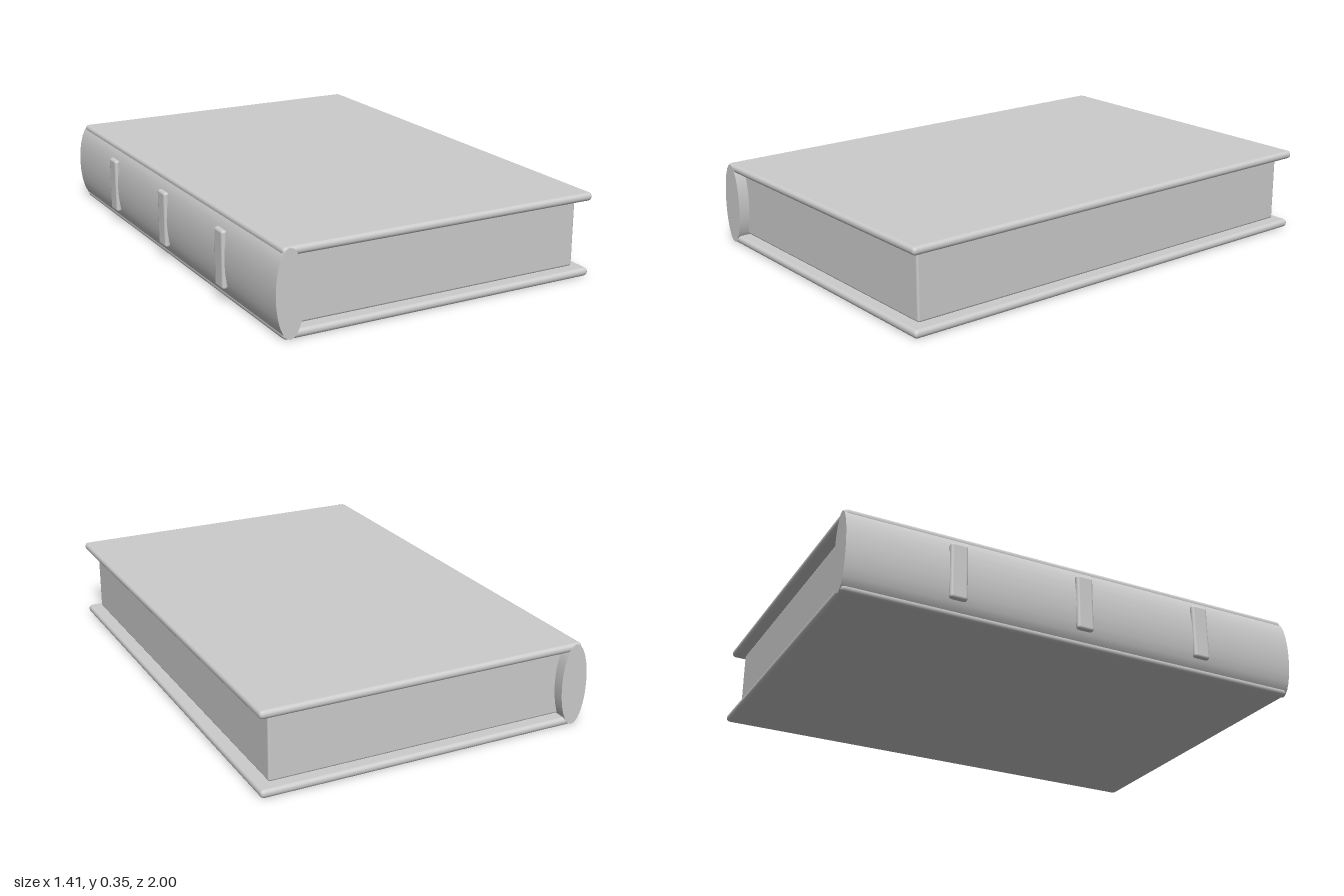
import * as THREE from 'three';
import { RoundedBoxGeometry } from 'three/addons/geometries/RoundedBoxGeometry.js';

export function createModel() {
  const book = new THREE.Group();
  book.name = 'book';
  const grey = new THREE.MeshStandardMaterial({ color: 0xcccccc });
  grey.name = 'light grey';

  // Soft-edged box given by its limits on each axis
  function block(name, [x0, x1], [y0, y1], [z0, z1], radius) {
    const geometry = new RoundedBoxGeometry(x1 - x0, y1 - y0, z1 - z0, 2, radius);
    const mesh = new THREE.Mesh(geometry, grey);
    mesh.position.set((x0 + x1) / 2, (y0 + y1) / 2, (z0 + z1) / 2);
    mesh.name = name;
    book.add(mesh);
  }

  // Two covers and the page block between them
  block('bottomCover', [-0.665, 0.705], [0, 0.034], [-1, 1], 0.016);
  block('topCover', [-0.665, 0.705], [0.313, 0.347], [-1, 1], 0.016);
  block('pages', [-0.64, 0.655], [0.037, 0.31], [-0.953, 0.953], 0.009);

  // Spine: an elliptical cylinder along z
  const spineGeometry = new THREE.CylinderGeometry(1, 1, 2, 24);
  spineGeometry.rotateX(Math.PI / 2);
  spineGeometry.scale(0.058, 0.1715, 1);
  const spine = new THREE.Mesh(spineGeometry, grey);
  spine.position.set(-0.638, 0.1735, 0);
  spine.name = 'spine';
  book.add(spine);

  // Raised bands across the spine
  ['front', 'middle', 'back'].forEach((place, i) => {
    const z = 0.547 * (1 - i);
    block(place + 'SpineBand', [-0.705, -0.679], [0.058, 0.294], [z - 0.037, z + 0.037], 0.012);
  });

  return book;
}
